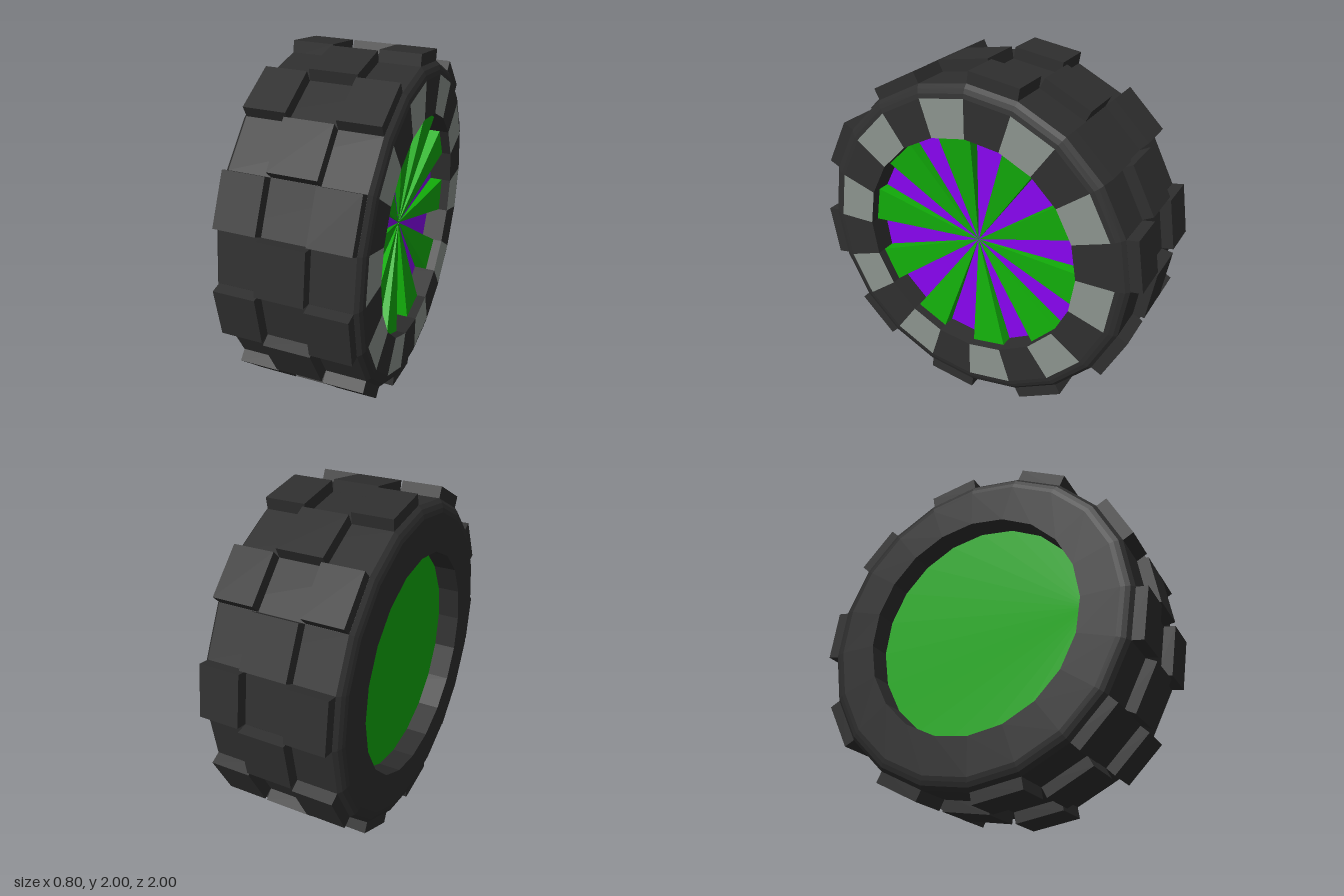
import * as THREE from 'three';

const SIDES = 20, STEP = (Math.PI * 2) / SIDES;
const HUB_R = 0.65, PATCH_R = 0.865, TYRE_R = 0.935;
const FACE_X = 0.4, HUB_X = 0.27, FIN_X = 0.345;

const paint = (color) => new THREE.MeshStandardMaterial({ color, flatShading: true });

// point on the wheel: sideways x, radius r, corner number k (0 = front, 5 = top)
const at = (x, r, k) => [x, r * Math.sin(k * STEP), r * Math.cos(k * STEP)];

// geometry from a list of convex polygons, each wound anticlockwise seen from outside
function polygons(list) {
  const pos = [];
  for (const p of list)
    for (let i = 1; i < p.length - 1; i++) pos.push(...p[0], ...p[i], ...p[i + 1]);
  const g = new THREE.BufferGeometry();
  g.setAttribute('position', new THREE.Float32BufferAttribute(pos, 3));
  g.computeVertexNormals();
  return g;
}

// ring around the x axis from [radius, x] pairs
const ring = (pairs) =>
  new THREE.LatheGeometry(pairs.map(([r, x]) => new THREE.Vector2(r, x)), SIDES).rotateZ(-Math.PI / 2);

export function createModel() {
  const model = new THREE.Group();
  const wheel = new THREE.Group();
  wheel.name = 'wheel';
  wheel.position.y = 1;
  model.add(wheel);

  const rubber = paint(0x2f2f2f), grey = paint(0x8c948e);
  const green = paint(0x12ad0a), purple = paint(0x8804f0);
  const add = (name, geometry, material, parent = wheel) => {
    const mesh = new THREE.Mesh(geometry, material);
    mesh.name = name;
    parent.add(mesh);
    return mesh;
  };

  // tyre body: chamfered ring, open where the sidewall panels sit
  const shoulder = [[TYRE_R, 0.365], [0.915, 0.385], [0.89, 0.395], [PATCH_R, FACE_X]];
  const backShoulder = shoulder.map(([r, x]) => [r, -x]).reverse();
  add('tyreBody', ring([[HUB_R, -FACE_X], ...backShoulder, ...shoulder]), rubber);

  // inner wall of the hole
  add('tyreBore', ring([[HUB_R, FACE_X], [HUB_R, -FACE_X]]), rubber);

  // sidewall panels, hub sectors and raised fins
  const greyPanels = [], darkPanels = [], sectors = [], fins = [], back = [];
  const hub = [HUB_X, 0, 0];
  for (let k = 0; k < SIDES; k++) {
    (k % 2 ? darkPanels : greyPanels).push([
      at(FACE_X, HUB_R, k), at(FACE_X, HUB_R, k + 1),
      at(FACE_X, PATCH_R, k + 1), at(FACE_X, PATCH_R, k),
    ]);
    back.push(at(-HUB_X, HUB_R, k));

    const lowA = at(HUB_X, HUB_R, k), lowB = at(HUB_X, HUB_R, k + 1);
    if (k % 2) {
      sectors.push([hub, lowB, lowA]);
    } else {
      const topA = at(FIN_X, HUB_R, k), topB = at(FIN_X, HUB_R, k + 1);
      fins.push([hub, topB, topA], [hub, topA, lowA], [hub, lowB, topB], [lowA, topA, topB, lowB]);
    }
  }
  add('greySidewallPanels', polygons(greyPanels), grey);
  add('darkSidewallPanels', polygons(darkPanels), rubber);
  add('hubSectors', polygons(sectors), purple);
  add('hubFins', polygons(fins), green);
  add('hubBack', polygons([back]), green);

  // tread blocks: middle row and outer rows alternate around the tyre
  const treads = new THREE.Group();
  treads.name = 'treads';
  wheel.add(treads);
  const inner = 0.9, outer = 0.9893, radius = (inner + outer) / 2, length = 0.291;
  const middle = new THREE.BoxGeometry(0.265, length, outer - inner);
  const side = new THREE.BoxGeometry(0.232, length, outer - inner);
  for (let k = 0; k < SIDES; k++) {
    for (const x of k % 2 ? [-0.2485, 0.2485] : [0]) {
      const block = add('treadBlock', x ? side : middle, rubber, treads);
      block.position.set(...at(x, radius, k + 0.5));
      block.rotation.x = -(k + 0.5) * STEP;
    }
  }
  return model;
}
